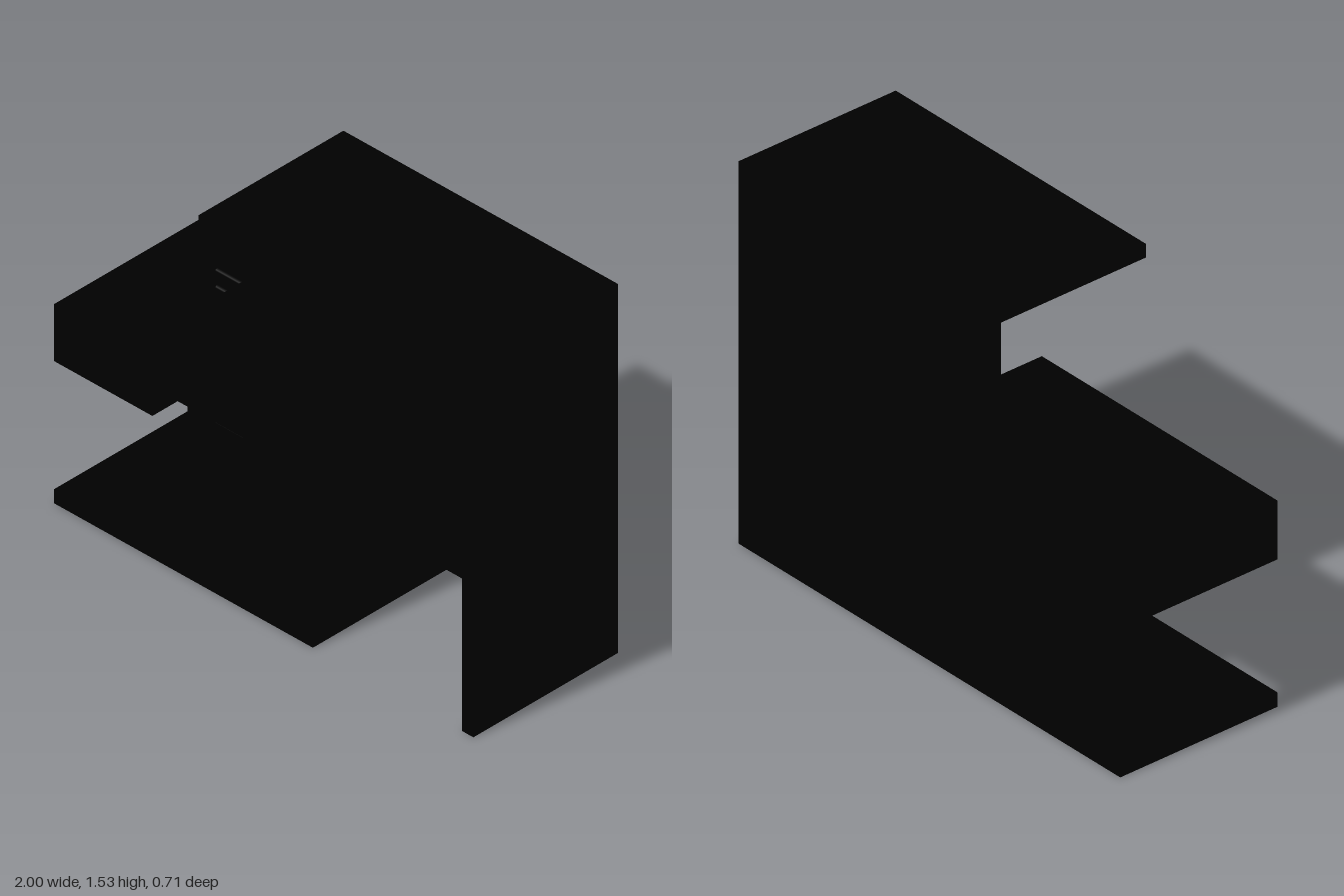
import * as THREE from 'three';

const material = new THREE.MeshStandardMaterial({ color: 0x000000 });
const D = 0.353;   // half depth
const T = 0.055;   // wall thickness

function add(parent, name, geometry) {
  const mesh = new THREE.Mesh(geometry, material);
  mesh.name = name;
  parent.add(mesh);
  return mesh;
}

// Box given by its lower and upper corners
function block(parent, name, [x0, y0, z0], [x1, y1, z1]) {
  const mesh = add(parent, name, new THREE.BoxGeometry(x1 - x0, y1 - y0, z1 - z0));
  mesh.position.set((x0 + x1) / 2, (y0 + y1) / 2, (z0 + z1) / 2);
  return mesh;
}

const points = (list) => list.map(([x, y]) => new THREE.Vector2(x, y));
const rect = (x0, y0, x1, y1) => points([[x0, y0], [x1, y0], [x1, y1], [x0, y1]]);

function plate(outline, hole, depth) {
  const shape = new THREE.Shape(outline);
  if (hole) shape.holes.push(new THREE.Path(hole));
  return new THREE.ExtrudeGeometry(shape, { depth, bevelEnabled: false });
}

export function createModel() {
  const model = new THREE.Group();
  model.name = 'building';

  // Stepped back wall with a doorway
  const outline = points([[-1, 0], [1, 0], [1, 1.53], [-0.31, 1.53], [-0.31, 0.825], [-1, 0.825]]);
  const backWall = add(model, 'backWall', plate(outline, rect(-0.365, 0.057, 0, 0.59), T));
  backWall.position.z = -D;

  // Tall side: overhanging roof and end wall, open below and in front
  block(model, 'upperRoof', [-0.31, 1.475, -D + T], [1, 1.53, D]);
  block(model, 'endWall', [1 - T, 0, -D + T], [1, 1.475, D]);

  // Low room: floor, inner wall and thick ceiling
  block(model, 'floor', [-1, 0, -D + T], [0.235, 0.057, D]);
  block(model, 'roomWall', [0.18, 0.057, -D + T], [0.235, 0.71, D]);
  block(model, 'roomCeiling', [-0.53, 0.71, -D + T], [0.235, 0.825, D]);

  // Lower ceiling with a hatch, the hatch reaching the back wall
  const hatch = rect(-0.9, 0.062, -0.635, 0.297);
  const low = add(model, 'hatchCeiling', plate(rect(-1, -D, -0.53, D - T), hatch, 0.235));
  low.rotation.x = -Math.PI / 2;
  low.position.y = 0.59;

  // Ladder under the hatch
  const ladder = new THREE.Group();
  ladder.name = 'ladder';
  ladder.position.set(-0.765, 0, -0.27);
  model.add(ladder);
  for (const side of [-1, 1]) {
    block(ladder, 'ladderRail', [side * 0.075 - 0.009, 0.057, -0.012], [side * 0.075 + 0.009, 0.8, 0.012]);
  }
  for (let i = 0; i < 10; i++) {
    const rung = add(ladder, 'ladderRung', new THREE.CylinderGeometry(0.008, 0.008, 0.14, 10));
    rung.rotation.z = Math.PI / 2;
    rung.position.y = 0.11 + i * 0.07;
  }

  // Door standing ajar into the room
  const door = new THREE.Group();
  door.name = 'door';
  door.position.set(0, 0, -D + T);
  door.rotation.y = Math.PI / 6;
  model.add(door);
  block(door, 'doorPanel', [-0.355, 0.06, -0.01], [0, 0.587, 0.01]);
  for (const side of [-1, 1]) {
    const knob = add(door, 'doorKnob', new THREE.SphereGeometry(0.016, 16, 12));
    knob.position.set(-0.315, 0.3, side * 0.026);
  }
  return model;
}
